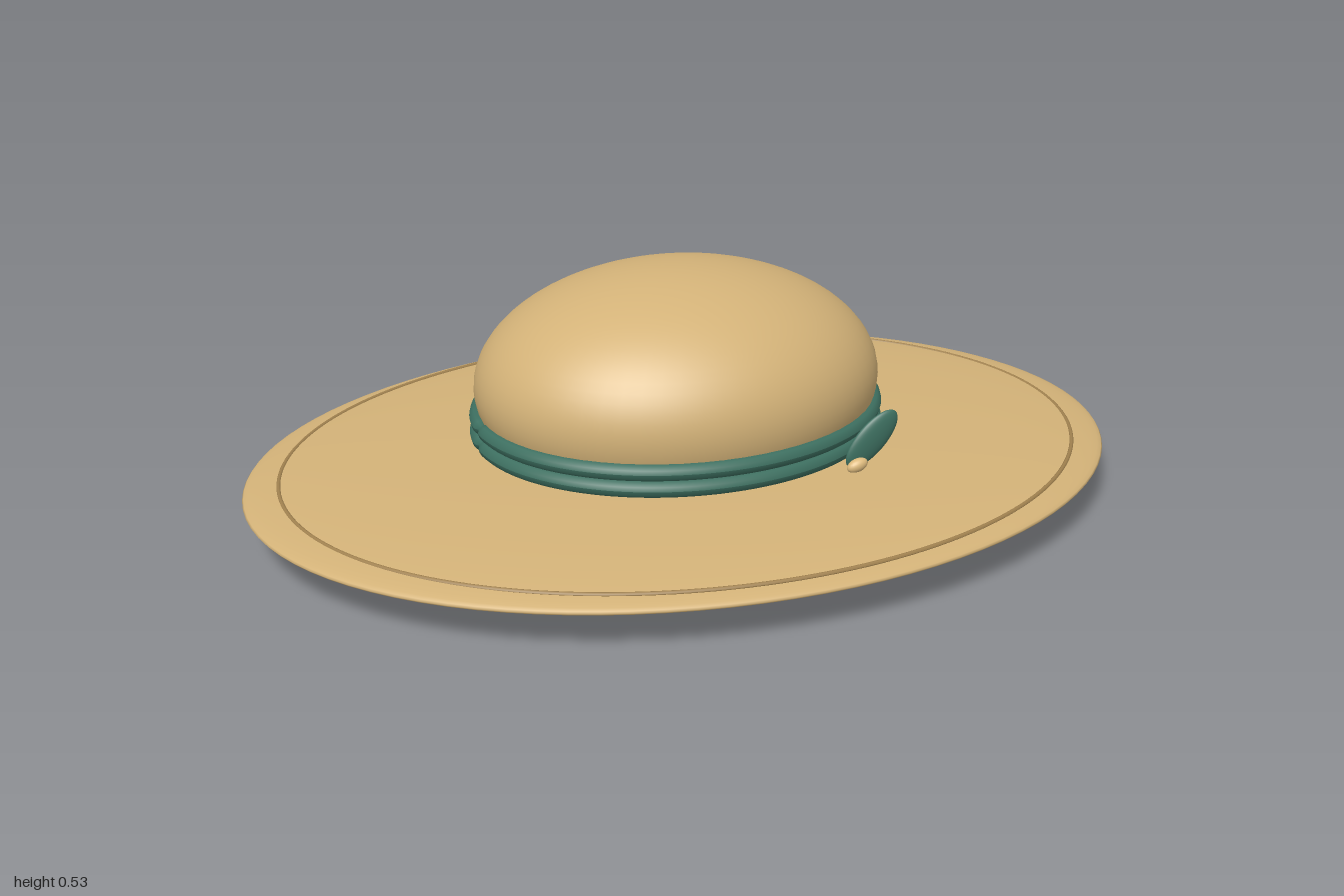
import * as THREE from 'three';

export function createModel() {
  const hat = new THREE.Group();
  hat.name = 'sunHat';

  const paint = (name, color) => {
    const m = new THREE.MeshStandardMaterial({ color });
    m.name = name;
    return m;
  };
  const straw = paint('straw', 0xd3b278);
  const stitch = paint('darkStraw', 0xa0814f);
  const teal = paint('tealRibbon', 0x3d6f60);
  const gold = paint('paleGold', 0xdcb97c);

  const add = (name, geometry, material, x, y, z) => {
    const mesh = new THREE.Mesh(geometry, material);
    mesh.name = name;
    mesh.position.set(x, y, z);
    hat.add(mesh);
    return mesh;
  };
  const ellipsoid = (rx, ry, rz, w = 64, h = 40) =>
    new THREE.SphereGeometry(1, w, h).scale(rx, ry, rz);

  // Elliptical ring lying flat; thickness(angle) scales the tube along its length
  const ring = (rx, rz, tube, thickness = () => 1) => {
    const around = 160, sides = 12;
    const geo = new THREE.TorusGeometry(1, 0.1, sides, around);
    const p = geo.attributes.position;
    for (let j = 0; j <= sides; j++) {
      const v = (j / sides) * Math.PI * 2;
      for (let i = 0; i <= around; i++) {
        const u = (i / around) * Math.PI * 2;
        const r = tube * thickness(u);
        p.setXYZ(j * (around + 1) + i,
          (rx + r * Math.cos(v)) * Math.cos(u),
          r * Math.sin(v),
          -(rz + r * Math.cos(v)) * Math.sin(u));
      }
    }
    geo.computeVertexNormals();
    return geo;
  };

  // Brim, thin lens shape, with a raised stitch line near its edge
  add('brim', ellipsoid(1, 0.05, 0.752, 96, 40), straw, 0, 0.1, 0);
  add('brimStitch', ring(0.92, 0.71, 0.005), stitch, 0, 0.117, 0);

  // Crown dome, showing a little under the brim
  add('crown', ellipsoid(0.468, 0.263, 0.395), straw, 0, 0.267, -0.05);

  // Two ribbon cords, pinched where the halves meet at each side
  const pinch = (u) => {
    const d = Math.abs(Math.sin(u)) * 0.39;
    return d < 0.02 ? 0.5 + 0.5 * Math.sqrt(d / 0.02) : 1;
  };
  for (const [name, y] of [['lowerRibbon', 0.164], ['upperRibbon', 0.202]]) {
    add(name, ring(0.46, 0.39, 0.019, pinch), teal, 0, y, -0.053);
  }

  // Leaf and bead trim on the front left
  const leaf = add('leaf', ellipsoid(0.08, 0.036, 0.013, 32, 20), teal, 0.315, 0.203, 0.31);
  leaf.rotation.z = 0.8;
  const bead = add('bead', ellipsoid(0.025, 0.015, 0.014, 20, 14), gold, 0.272, 0.155, 0.33);
  bead.rotation.z = 0.3;

  return hat;
}
